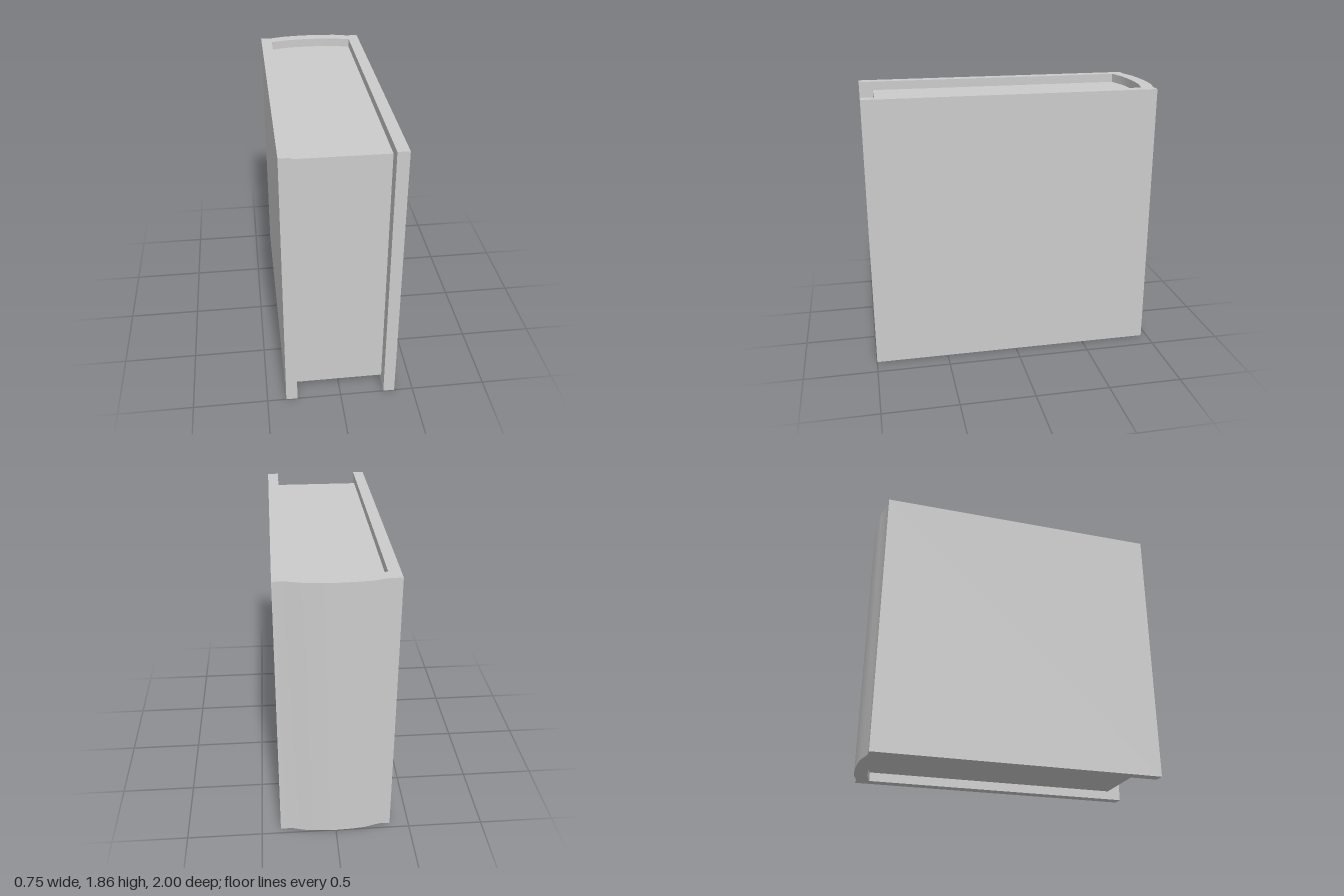
import * as THREE from 'three';
import { toCreasedNormals } from 'three/addons/utils/BufferGeometryUtils.js';

const HEIGHT = 1.86, HALF = 0.373, INNER = 0.297;
const PAGE_BOTTOM = 0.06, PAGE_TOP = 1.8, PAGE_FRONT = 0.905;

// Right half of each curved back, as [x, z] from the centre line outwards
const spineOuter = [[0, -1], [0.1, -0.996], [0.196, -0.987], [INNER, -0.96], [HALF, -0.96]];
const spineInner = [[0, -0.913], [0.09, -0.91], [0.17, -0.903], [INNER, -0.873]];

// Mirror a half curve into a full one running from -x to +x
const mirrored = (half) => [...half.slice(1).reverse().map(([x, z]) => [-x, z]), ...half];

// Extrude an [x, z] outline upwards from y0 to y1
function upright(name, outline, y0, y1, material) {
  const shape = new THREE.Shape(outline.map(([x, z]) => new THREE.Vector2(x, -z)));
  const solid = new THREE.ExtrudeGeometry(shape, { depth: y1 - y0, bevelEnabled: false });
  solid.rotateX(-Math.PI / 2).translate(0, y0, 0);
  const mesh = new THREE.Mesh(toCreasedNormals(solid, 0.5), material);
  mesh.name = name;
  return mesh;
}

export function createModel() {
  const book = new THREE.Group();
  book.name = 'book';
  const material = new THREE.MeshStandardMaterial({ color: 0xcccccc });

  // Cover: two boards joined by a rounded spine
  const cover = [
    [-HALF, 1], ...mirrored(spineOuter), [HALF, 1],
    [INNER, 1], ...mirrored(spineInner).reverse(), [-INNER, 1],
  ];
  book.add(upright('cover', cover, 0, HEIGHT, material));

  // Page block: recessed at the top, bottom and front, rounded against the spine
  const pages = [[-INNER, PAGE_FRONT], ...mirrored(spineInner), [INNER, PAGE_FRONT]];
  book.add(upright('pages', pages, PAGE_BOTTOM, PAGE_TOP, material));

  return book;
}
